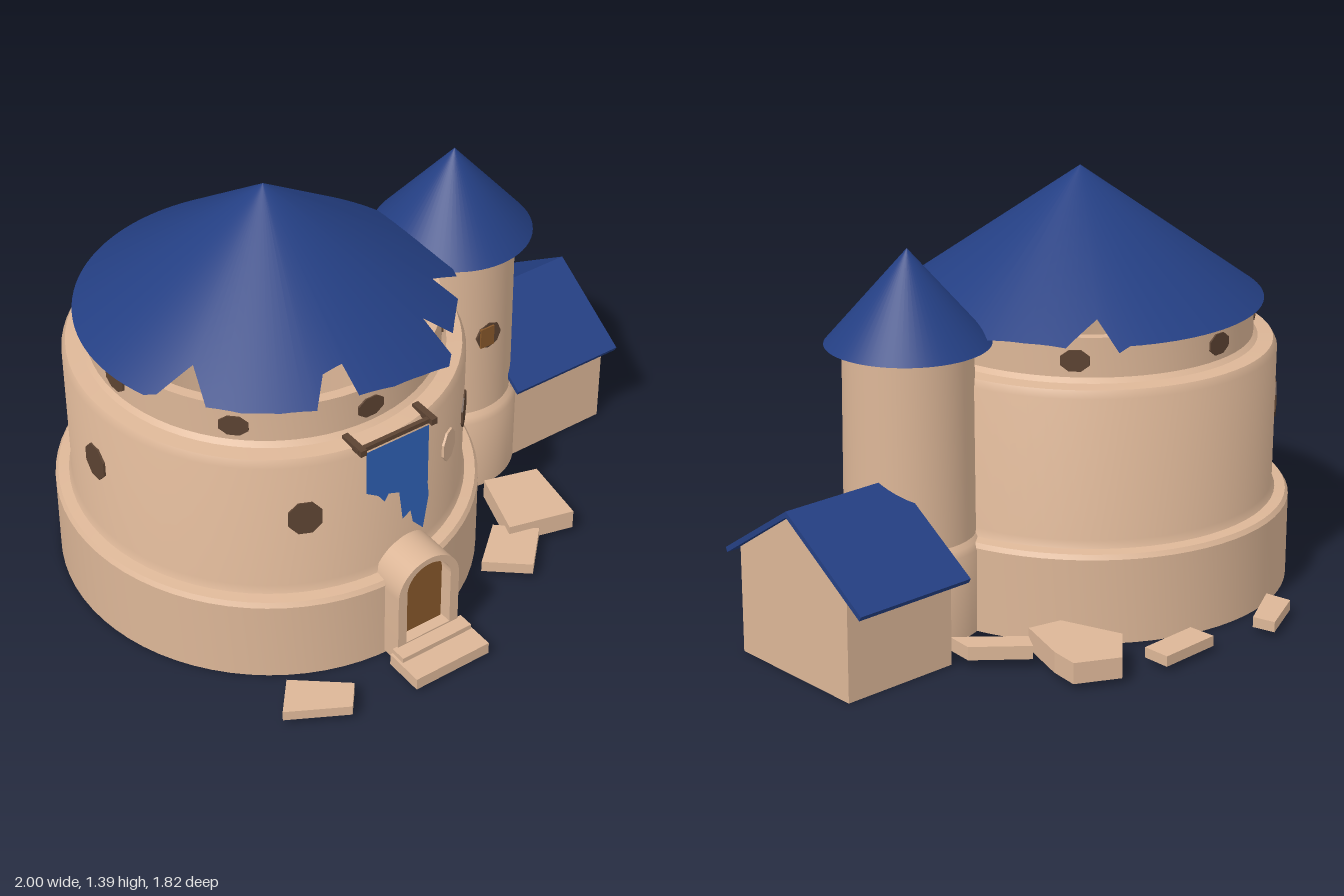
import * as THREE from 'three';
import { toCreasedNormals } from 'three/addons/utils/BufferGeometryUtils.js';

const material = (name, color, side = THREE.FrontSide) => {
  const m = new THREE.MeshStandardMaterial({ color, side });
  m.name = name;
  return m;
};

export function createModel() {
  const stone = material('stone', 0xdcb697, THREE.DoubleSide);
  const roofBlue = material('roofBlue', 0x243f83, THREE.DoubleSide);
  const clothBlue = material('clothBlue', 0x2f61b5, THREE.DoubleSide);
  const doorWood = material('doorWood', 0x86572a);
  const darkWood = material('darkWood', 0x5c4332);

  const group = new THREE.Group();
  const add = (name, geometry, mat, x = 0, y = 0, z = 0) => {
    const mesh = new THREE.Mesh(geometry, mat);
    mesh.name = name;
    mesh.position.set(x, y, z);
    group.add(mesh);
    return mesh;
  };
  const vectors = (list) => list.map(([x, y]) => new THREE.Vector2(x, y));
  const lathe = (profile) => toCreasedNormals(new THREE.LatheGeometry(vectors(profile), 72), 0.5);
  const extrude = (shape, depth) =>
    new THREE.ExtrudeGeometry(shape, { depth, bevelEnabled: false, curveSegments: 16 });

  // Main tower: three stepped tiers, open below
  const cx = -0.31, cz = -0.02, stretch = 1.035;
  const tower = add('towerWall', lathe([
    [0.69, 0.01], [0.69, 0.295], [0.68, 0.31], [0.645, 0.315], [0.635, 0.34], [0.638, 0.81],
    [0.625, 0.835], [0.575, 0.84], [0.56, 0.855], [0.56, 0.985], [0.525, 0.985], [0.525, 0.86],
  ]), stone, cx, 0, cz);
  tower.scale.z = stretch;

  // Broken conical roof: outline seen from above, laid on a cone
  const rx = -0.3, rz = -0.02;
  const outline = [
    [0.04, -0.55], [0.02, -0.43], [0.155, -0.43], [0.225, -0.32], [0.28, -0.21], [0.3, 0], [0.285, 0.19],
    [0.27, 0.23], [0.14, 0.27], [0.19, 0.34], [0.07, 0.47], [-0.01, 0.42], [0.015, 0.535], [-0.02, 0.57],
    [-0.13, 0.58], [-0.24, 0.585], [-0.36, 0.57], [-0.36, 0.48], [-0.43, 0.48], [-0.5, 0.55], [-0.6, 0.5],
    [-0.69, 0.435], [-0.765, 0.35], [-0.73, 0.23], [-0.85, 0.21],
  ].map(([x, z]) => [x - rx, z - rz]);
  const a0 = Math.atan2(0.23, -0.55), a1 = Math.atan2(-0.53, 0.34) + Math.PI * 2;
  for (let i = 1; i < 40; i++) {
    const a = a0 + (a1 - a0) * i / 40;
    outline.push([0.61 * Math.cos(a), 0.61 * Math.sin(a)]);
  }
  const positions = [];
  const onCone = (x, z) => [x, -Math.hypot(x, z) * 0.71, z];
  outline.forEach(([x, z], i) => {
    const [nx, nz] = outline[(i + 1) % outline.length];
    const steps = 3;
    for (let k = 0; k < steps; k++) {
      const at = (t) => onCone(x + (nx - x) * t, z + (nz - z) * t);
      positions.push(0, 0, 0, ...at((k + 1) / steps), ...at(k / steps));
    }
  });
  const roof = new THREE.BufferGeometry();
  roof.setAttribute('position', new THREE.Float32BufferAttribute(positions, 3));
  add('towerRoof', toCreasedNormals(roof, 0.5), roofBlue, rx, 1.4, rz);

  // Windows set radially into the tower wall
  const opening = (name, degrees, y, radius, w, h, depth, mat, sides = 8) => {
    const g = new THREE.CylinderGeometry(0.5, 0.5, depth, sides);
    g.rotateY(Math.PI / sides).rotateX(Math.PI / 2).scale(w, h, 1);
    const a = THREE.MathUtils.degToRad(degrees);
    const mesh = add(name, g.toNonIndexed(), mat,
      cx + Math.sin(a) * radius, y, cz + Math.cos(a) * radius * stretch);
    mesh.geometry.computeVertexNormals();
    mesh.rotation.y = a;
  };
  for (const a of [-135, -90, -24, 46]) opening('window', a, 0.61, 0.592, 0.115, 0.13, 0.1, darkWood);
  opening('blockedWindow', 28, 0.62, 0.6, 0.09, 0.12, 0.09, stone);
  for (const a of [-175, -132, -88, -44, 0, 52, 133])
    opening('upperWindow', a, 0.91, 0.54, 0.1, 0.075, 0.05, darkWood);

  // Side turret
  const tx = 0.44, tz = -0.015;
  add('turretWall', lathe([
    [0.235, 0.01], [0.235, 0.29], [0.225, 0.31], [0.213, 0.325], [0.208, 0.96],
  ]), stone, tx, 0, tz);
  add('turretRoof', new THREE.ConeGeometry(0.265, 0.305, 64, 1, true), roofBlue, tx, 1.103, tz);
  const hole = new THREE.CylinderGeometry(0.05, 0.05, 0.06, 8);
  hole.rotateX(Math.PI / 2);
  add('turretWindow', hole, darkWood, tx, 0.63, 0.168);
  add('turretShutter', new THREE.BoxGeometry(0.055, 0.075, 0.008), doorWood, tx - 0.01, 0.63, 0.2);

  // Lean-to house; cross-sections run along x, with shape x = -z
  const along = (geometry) => geometry.rotateY(Math.PI / 2);
  const gable = [[-0.15, 0.01], [-0.15, 0.365], [0.095, 0.53], [0.37, 0.345], [0.37, 0.01]];
  for (const x of [0.58, 0.992])
    add('houseGable', along(new THREE.ShapeGeometry(new THREE.Shape(vectors(gable).reverse()))), stone, x);
  for (const [z, h] of [[0.15, 0.355], [-0.37, 0.335]]) {
    const wall = add('houseSide', new THREE.PlaneGeometry(0.412, h), stone, 0.786, 0.01 + h / 2, z);
    if (z < 0) wall.rotation.y = Math.PI;
  }
  const chevron = new THREE.Shape(vectors([
    [-0.21, 0.33], [0.095, 0.533], [0.437, 0.303], [0.445, 0.318], [0.095, 0.553], [-0.217, 0.345],
  ]));
  add('houseRoof', along(extrude(chevron, 0.435)), roofBlue, 0.565);

  // Arched porch, door and step
  const arch = (Kind, half, bottom, top) => {
    const s = new Kind();
    s.moveTo(-half, bottom);
    s.lineTo(half, bottom);
    s.lineTo(half, top - half);
    s.absarc(0, top - half, half, 0, Math.PI, false);
    s.lineTo(-half, bottom);
    return s;
  };
  const frame = arch(THREE.Shape, 0.118, 0.02, 0.4);
  frame.holes.push(arch(THREE.Path, 0.085, 0.09, 0.378));
  add('doorFrame', toCreasedNormals(extrude(frame, 0.19), 0.5), stone, -0.228, 0, 0.575);
  add('door', extrude(arch(THREE.Shape, 0.087, 0.085, 0.38), 0.03), doorWood, -0.235, 0, 0.695);
  add('step', new THREE.BoxGeometry(0.285, 0.042, 0.14), stone, -0.23, 0.046, 0.83);
  add('sill', new THREE.BoxGeometry(0.27, 0.022, 0.055), stone, -0.228, 0.074, 0.787);

  // Torn banner hanging from a rod on two brackets
  const cloth = new THREE.Shape(vectors([
    [-0.395, 0.83], [-0.395, 0.67], [-0.35, 0.64], [-0.325, 0.605], [-0.31, 0.63], [-0.27, 0.615],
    [-0.255, 0.5], [-0.225, 0.52], [-0.215, 0.47], [-0.175, 0.425], [-0.155, 0.55], [-0.16, 0.6], [-0.16, 0.83],
  ]));
  add('banner', new THREE.ShapeGeometry(cloth), clothBlue, 0, 0, 0.657);
  add('bannerRod', new THREE.BoxGeometry(0.29, 0.015, 0.015), darkWood, -0.278, 0.84, 0.645);
  for (const x of [-0.41, -0.145])
    add('bannerBracket', new THREE.BoxGeometry(0.022, 0.022, 0.1), darkWood, x, 0.84, 0.615);

  // Fallen stone slabs: [bottom, top, footprint in x and z]
  const slabs = [
    [0.03, 0.065, [[-0.48, -0.83], [-0.31, -0.915], [-0.29, -0.84], [-0.465, -0.74]]],
    [0.03, 0.065, [[-0.09, -0.855], [0.13, -0.865], [0.13, -0.77], [-0.085, -0.76]]],
    [0.03, 0.1, [[0.29, -0.83], [0.43, -0.76], [0.415, -0.66], [0.35, -0.475], [0.235, -0.5], [0.165, -0.705]]],
    [0.04, 0.085, [[0.41, -0.56], [0.565, -0.43], [0.555, -0.335], [0.37, -0.495]]],
    [0.035, 0.105, [[0.365, 0.295], [0.55, 0.35], [0.51, 0.595], [0.285, 0.535]]],
    [0.035, 0.075, [[0.27, 0.465], [0.385, 0.57], [0.255, 0.7], [0.125, 0.59]]],
    [0.035, 0.07, [[-0.705, 0.665], [-0.54, 0.8], [-0.605, 0.88], [-0.795, 0.775]]],
  ];
  for (const [bottom, top, foot] of slabs) {
    const g = extrude(new THREE.Shape(vectors(foot.map(([x, z]) => [x, -z]))), top - bottom);
    add('fallenSlab', g.rotateX(-Math.PI / 2), stone, 0, bottom, 0);
  }

  return group;
}
